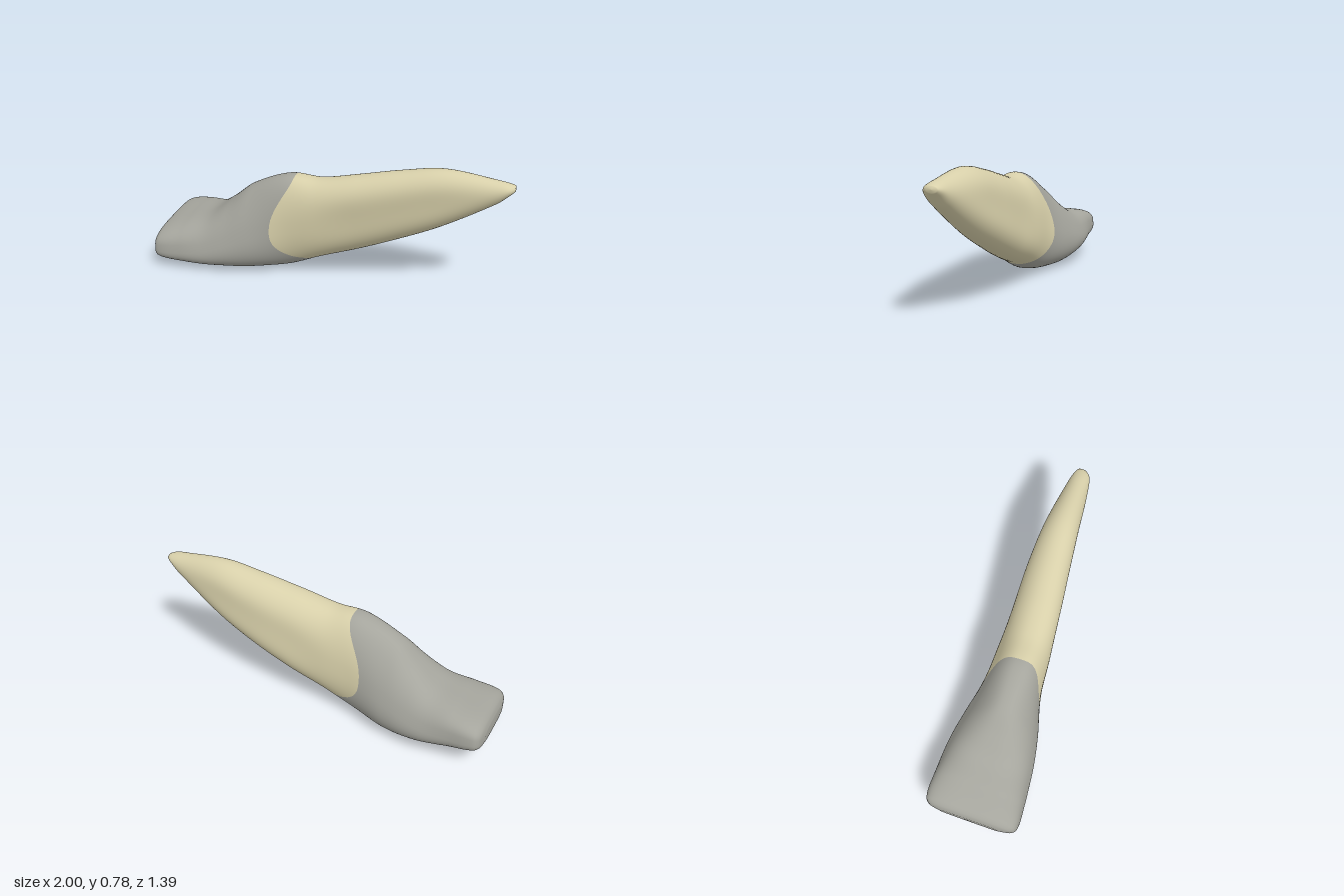
import * as THREE from 'three';

// Outline along the tooth, biting edge to root tip: [s, side min, side max, bottom, top]
const OUTLINE = [
  [-0.995, -0.23, 0.12, 0.12, 0.2],
  [-0.98, -0.305, 0.2, 0.09, 0.24],
  [-0.94, -0.338, 0.232, 0.07, 0.272],
  [-0.8, -0.342, 0.227, 0.045, 0.31],
  [-0.65, -0.333, 0.21, 0.023, 0.35],
  [-0.52, -0.312, 0.192, 0.008, 0.44],
  [-0.38, -0.28, 0.168, 0, 0.55],
  [-0.14, -0.23, 0.124, 0.033, 0.645],
  [0.06, -0.222, 0.116, 0.11, 0.643],
  [0.3, -0.219, 0.097, 0.193, 0.69],
  [0.55, -0.21, 0.075, 0.297, 0.742],
  [0.8, -0.182, 0.054, 0.42, 0.779],
  [1.1, -0.116, 0.022, 0.61, 0.75],
  [1.17, -0.094, 0.006, 0.672, 0.738],
  [1.2, -0.075, -0.025, 0.7, 0.728],
];
// Cross-section character: [s, roundness, narrowing upward, lean, tilt]
const SECTION = [
  [-0.995, 0.62, 0.03, 0, 0.15],
  [-0.8, 0.68, 0.08, 0, 0.13],
  [-0.38, 0.86, 0.36, 0.02, 0.02],
  [-0.12, 0.86, 0.12, 0.025, 0],
  [0.3, 0.93, 0, 0.035, 0],
  [1.2, 1, 0, 0, 0],
];
const START = -0.995, END = 1.2;
const COLS = 72, CROWN_ROWS = 60, ROOT_ROWS = 70;

// Long axis and sideways axis in the ground plane
const AXIS = new THREE.Vector3(0.851, 0, -0.525);
const SIDE = new THREE.Vector3(0.525, 0, 0.851);

// Smooth cubic interpolation of every column of a table at s
function sample(table, s) {
  const last = table.length - 1;
  let i = 0;
  while (i < last - 1 && s > table[i + 1][0]) i++;
  const p = table[i], q = table[i + 1], h = q[0] - p[0];
  const u = (s - p[0]) / h, u2 = u * u, u3 = u2 * u;
  const slope = (k, col) => {
    const a = table[Math.max(k - 1, 0)], b = table[Math.min(k + 1, last)];
    return (b[col] - a[col]) / (b[0] - a[0]);
  };
  return [1, 2, 3, 4].map((col) =>
    (2 * u3 - 3 * u2 + 1) * p[col] + (u3 - 2 * u2 + u) * h * slope(i, col)
    + (3 * u2 - 2 * u3) * q[col] + (u3 - u2) * h * slope(i + 1, col));
}

const power = (v, e) => Math.sign(v) * Math.pow(Math.abs(v), e);

// Surface point at distance s and angle a; size 0 closes the end
function surfacePoint(s, a, size) {
  const [t0, t1, y0, y1] = sample(OUTLINE, s);
  const [round, taper, lean, tilt] = sample(SECTION, s);
  const up = power(Math.sin(a), round) * size;
  // shallow groove along both sides of the root
  const groove = 0.09 * THREE.MathUtils.smoothstep(s, -0.1, 0.3) * (1 - THREE.MathUtils.smoothstep(s, 0.7, 1.1));
  const across = power(Math.cos(a), round) * size * (1 - taper * up)
    * (1 + groove * (0.5 - 1.5 * Math.pow(Math.cos(a), 8)));
  const offset = across * (t1 - t0) / 2 + lean * up;
  const y = (y0 + y1) / 2 + up * (y1 - y0) / 2 - tilt * offset;
  return new THREE.Vector3(0, y, 0).addScaledVector(AXIS, s).addScaledVector(SIDE, (t0 + t1) / 2 + offset);
}

// Curved neck line where crown meets root, dipping furthest low on each side
const neckLine = (a) => -0.025 - 0.065 * Math.sin(a)
  - 0.19 * Math.abs(Math.cos(a)) ** 3 * (1 - 0.4 * Math.sin(a));

// Grid faces for a number of rows
function gridIndex(rows) {
  const index = [];
  for (let i = 0; i < rows; i++) {
    for (let j = 0; j < COLS; j++) {
      const k = (j + 1) % COLS;
      const a = i * COLS + j, b = a + COLS, c = i * COLS + k, d = c + COLS;
      index.push(a, b, c, b, d, c);
    }
  }
  return index;
}

// Cut a range of rows out of the full surface, keeping its smooth normals
function sliceRows(full, first, rows) {
  const geometry = new THREE.BufferGeometry();
  for (const name of ['position', 'normal']) {
    const part = full.attributes[name].array.slice(first * COLS * 3, (first + rows + 1) * COLS * 3);
    geometry.setAttribute(name, new THREE.BufferAttribute(part, 3));
  }
  geometry.setIndex(gridIndex(rows));
  return geometry;
}

export function createModel() {
  const enamel = new THREE.MeshStandardMaterial({ color: 0xa5a59d });
  enamel.name = 'greyEnamel';
  const bone = new THREE.MeshStandardMaterial({ color: 0xd8d0aa });
  bone.name = 'paleBone';

  // Whole surface: crown rows up to the neck line, then root rows
  const total = CROWN_ROWS + ROOT_ROWS;
  const positions = [];
  for (let i = 0; i <= total; i++) {
    for (let j = 0; j < COLS; j++) {
      const a = (j / COLS) * Math.PI * 2;
      const neck = neckLine(a);
      const s = i <= CROWN_ROWS
        ? THREE.MathUtils.lerp(START, neck, Math.pow(i / CROWN_ROWS, 1.6))
        : THREE.MathUtils.lerp(END, neck, Math.pow((total - i) / ROOT_ROWS, 1.4));
      const p = surfacePoint(s, a, i === 0 || i === total ? 0 : 1);
      positions.push(p.x, p.y, p.z);
    }
  }
  const full = new THREE.BufferGeometry();
  full.setAttribute('position', new THREE.Float32BufferAttribute(positions, 3));
  full.setIndex(gridIndex(total));
  full.computeVertexNormals();

  const crown = new THREE.Mesh(sliceRows(full, 0, CROWN_ROWS), enamel);
  crown.name = 'crown';
  const root = new THREE.Mesh(sliceRows(full, CROWN_ROWS, ROOT_ROWS), bone);
  root.name = 'root';

  const group = new THREE.Group();
  group.name = 'tooth';
  group.add(crown, root);
  return group;
}
